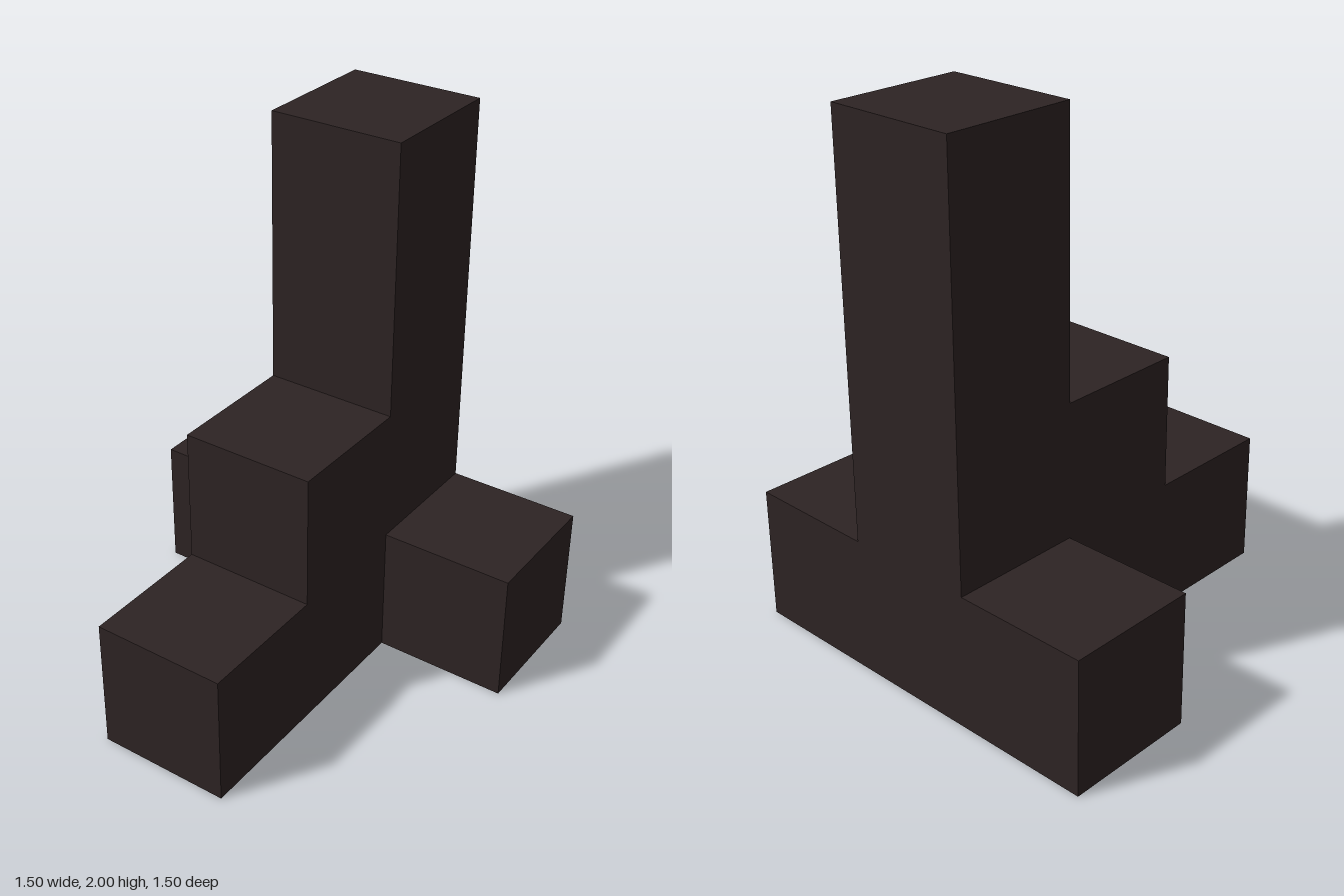
import * as THREE from 'three';

const UNIT = 0.5;

export function createModel() {
  const model = new THREE.Group();
  model.name = 'steppedBlocks';
  const darkBrown = new THREE.MeshStandardMaterial({ color: 0x2d2323 });
  darkBrown.name = 'darkBrown';

  // Stepped spine: side outline as (z, y), climbing from the front step to the rear tower
  const outline = new THREE.Shape([
    [0.75, 0], [0.75, 0.5], [0.25, 0.5], [0.25, 1],
    [-0.25, 1], [-0.25, 2], [-0.75, 2], [-0.75, 0],
  ].map(([z, y]) => new THREE.Vector2(z, y)));
  const spineGeometry = new THREE.ExtrudeGeometry(outline, { depth: UNIT, bevelEnabled: false });
  spineGeometry.rotateY(-Math.PI / 2).translate(UNIT / 2, 0, 0);
  const spine = new THREE.Mesh(spineGeometry, darkBrown);
  spine.name = 'steppedTower';
  model.add(spine);

  // Cube arms on both sides of the tower base
  for (const side of [-1, 1]) {
    const arm = new THREE.Mesh(new THREE.BoxGeometry(UNIT, UNIT, UNIT), darkBrown);
    arm.name = side > 0 ? 'leftArm' : 'rightArm';
    arm.position.set(side * UNIT, UNIT / 2, -UNIT);
    model.add(arm);
  }

  return model;
}
